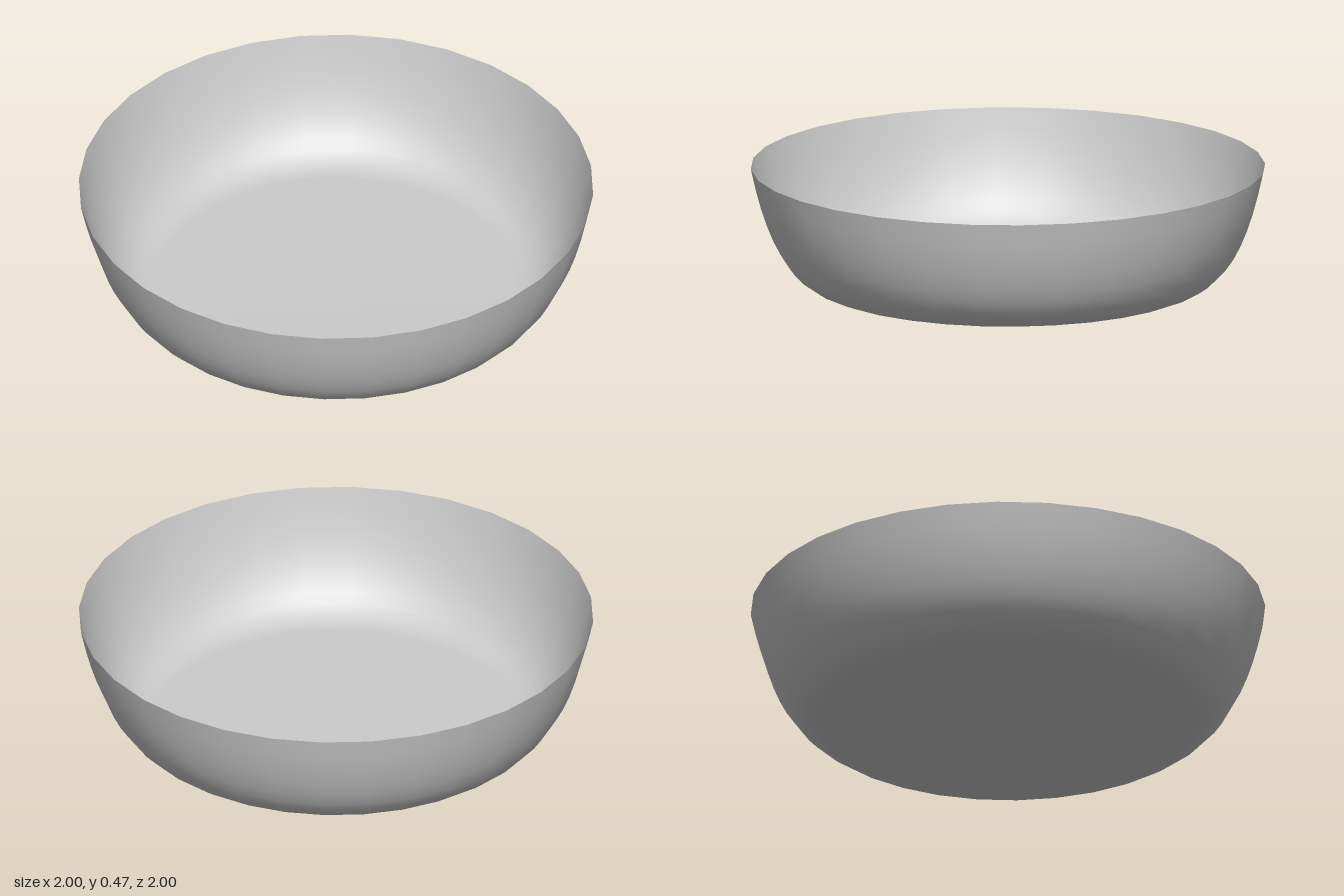
import * as THREE from 'three';

export function createModel() {
  const group = new THREE.Group();
  group.name = 'bowl';

  // Curved wall, from the edge of the flat base up to the rim
  const wall = new THREE.CubicBezierCurve(
    new THREE.Vector2(0.7, 0),
    new THREE.Vector2(0.85, 0),
    new THREE.Vector2(0.94, 0.18),
    new THREE.Vector2(1, 0.47)
  );

  // Flat base and wall as one thin open shell
  const profile = [new THREE.Vector2(0, 0), ...wall.getPoints(10)];
  const shell = new THREE.Mesh(
    new THREE.LatheGeometry(profile, 32),
    new THREE.MeshStandardMaterial({ color: 0xcccccc, side: THREE.DoubleSide })
  );
  shell.name = 'bowlShell';
  group.add(shell);

  return group;
}
